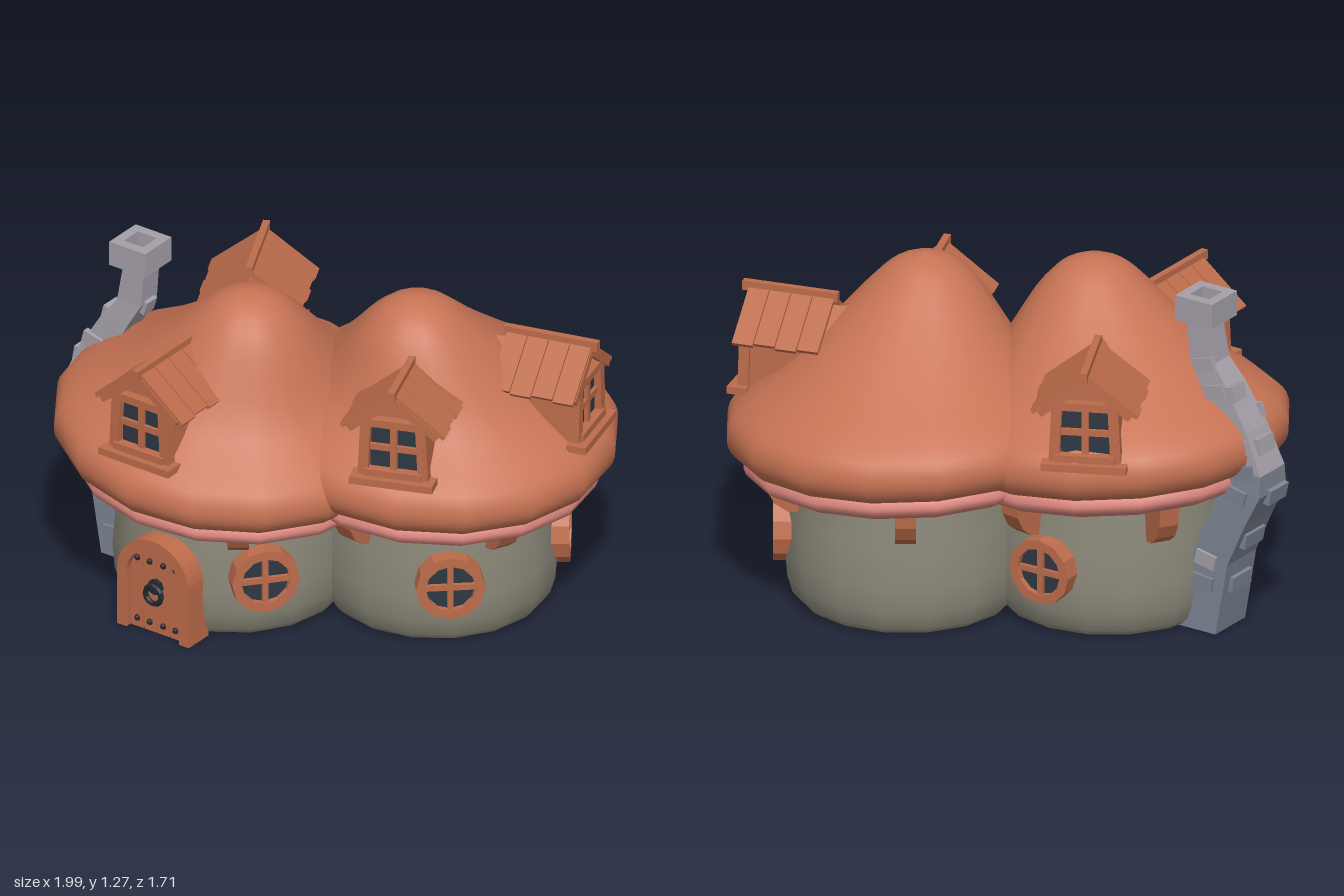
import * as THREE from 'three';
import { mergeVertices } from 'three/addons/utils/BufferGeometryUtils.js';

const mat = (name, color, flat = true) => {
  const m = new THREE.MeshStandardMaterial({ color, flatShading: flat });
  m.name = name;
  return m;
};
const CAP = mat('capOrange', 0xc87455, false);
const GILL = mat('gillPink', 0xdc877e, false);
const STEM = mat('stemGrey', 0x8a8778, false);
const WOOD = mat('wood', 0xbd6c4b);
const GLASS = mat('glass', 0x2e3742);
const IRON = mat('iron', 0x24272c);
const STONE = mat('paleStone', 0xa59fa8);
const SLATE = mat('blueStone', 0x7b8492);

function add(parent, name, geo, material, x = 0, y = 0, z = 0) {
  const m = new THREE.Mesh(geo, material);
  m.name = name;
  m.position.set(x, y, z);
  parent.add(m);
  return m;
}
const box = (parent, name, material, w, h, d, x, y, z) =>
  add(parent, name, new THREE.BoxGeometry(w, h, d), material, x, y, z);
const extrude = (shape, depth, curveSegments = 6) =>
  new THREE.ExtrudeGeometry(shape, { depth, bevelEnabled: false, curveSegments });
const vecs = (pts) => pts.map(([x, y]) => new THREE.Vector2(x, y));

// Group turned to face an angle measured from +z toward +x
function facing(parent, name, degrees) {
  const g = new THREE.Group();
  g.name = name;
  g.rotation.y = THREE.MathUtils.degToRad(degrees);
  parent.add(g);
  return g;
}

// Sixteen-sided lathe whose rim tilts and whose peak leans
function leaningLathe(points, lean, tilt) {
  const g = new THREE.LatheGeometry(points, 16);
  const p = g.attributes.position;
  for (let i = 0; i < p.count; i++) {
    const x = p.getX(i), y = p.getY(i), z = p.getZ(i);
    const s = THREE.MathUtils.smoothstep(y, 0.78, 1.24);
    p.setXYZ(i, x + lean[0] * s, y - ((tilt[0] * x + tilt[1] * z) / 0.65) * (1 - s), z + lean[1] * s);
  }
  g.deleteAttribute('uv');
  g.deleteAttribute('normal');
  const merged = mergeVertices(g, 1e-4);
  merged.computeVertexNormals();
  return merged;
}

const stemProfile = vecs([[0, 0.005], [0.375, 0.005], [0.39, 0.008], [0.415, 0.035], [0.435, 0.1],
  [0.443, 0.2], [0.428, 0.35], [0.408, 0.48], [0.39, 0.66]]);
const gillProfile = vecs([[0.35, 0.63], [0.43, 0.6], [0.47, 0.55], [0.51, 0.508], [0.55, 0.5],
  [0.585, 0.522], [0.595, 0.55], [0.58, 0.575], [0.55, 0.6]]);
const capProfile = new THREE.SplineCurve(vecs([[0.55, 0.59], [0.605, 0.582], [0.643, 0.62], [0.656, 0.67],
  [0.64, 0.73], [0.58, 0.79], [0.44, 0.9], [0.3, 1.05], [0.19, 1.175], [0.1, 1.248], [0, 1.275]])).getPoints(26);
capProfile[capProfile.length - 1].x = 0;

// House-shaped window; push slides it outward along its facing
function dormer(parent, degrees, push) {
  const g = facing(parent, 'dormer', degrees);
  g.translateZ(push);
  const wall = new THREE.Shape(vecs([[-0.12, 0.7], [0.12, 0.7], [0.112, 0.985], [0, 1.085], [-0.112, 0.985]]));
  add(g, 'dormerWall', extrude(wall, 0.4), WOOD, 0, 0, 0.145);
  box(g, 'dormerGlass', GLASS, 0.18, 0.2, 0.008, 0, 0.885, 0.55);
  box(g, 'windowSill', WOOD, 0.31, 0.028, 0.075, 0, 0.764, 0.577);
  box(g, 'sillBlock', WOOD, 0.22, 0.03, 0.05, 0, 0.79, 0.565);
  box(g, 'windowLintel', WOOD, 0.24, 0.03, 0.04, 0, 0.99, 0.56);
  box(g, 'windowMullion', WOOD, 0.024, 0.2, 0.022, 0, 0.888, 0.558);
  box(g, 'windowTransom', WOOD, 0.18, 0.024, 0.02, 0, 0.888, 0.557);
  for (const s of [-1, 1]) {
    box(g, 'windowPost', WOOD, 0.038, 0.215, 0.04, s * 0.107, 0.886, 0.56).rotation.z = s * 0.05;
    // Roof slope of four planks with a board along the front
    const slope = new THREE.Group();
    slope.name = 'roofSlope';
    slope.position.set(0, 1.112, 0);
    slope.rotation.z = -s * 0.66;
    g.add(slope);
    for (let i = 0; i < 4; i++) {
      const len = 0.235 + (i % 2) * 0.008;
      box(slope, 'roofPlank', WOOD, len, 0.016, 0.078, s * len / 2, 0, 0.296 + i * 0.082);
    }
    box(slope, 'roofUnderlay', WOOD, 0.225, 0.012, 0.31, s * 0.112, -0.008, 0.418);
    box(slope, 'bargeBoard', WOOD, 0.225, 0.03, 0.018, s * 0.112, -0.018, 0.575);
  }
  box(g, 'ridgeBeam', WOOD, 0.026, 0.036, 0.36, 0, 1.117, 0.425);
}

function roundWindow(parent, degrees) {
  const g = facing(parent, 'roundWindow', degrees);
  const ring = new THREE.Shape().absarc(0, 0, 0.125, 0, Math.PI * 2);
  ring.holes.push(new THREE.Path().absarc(0, 0, 0.09, 0, Math.PI * 2, true));
  add(g, 'windowFrame', extrude(ring, 0.088), WOOD, 0, 0.26, 0.39);
  const glass = new THREE.CylinderGeometry(0.1, 0.1, 0.008, 12).rotateX(Math.PI / 2);
  add(g, 'windowGlass', glass, GLASS, 0, 0.26, 0.452);
  box(g, 'windowMullion', WOOD, 0.022, 0.19, 0.02, 0, 0.26, 0.461);
  box(g, 'windowTransom', WOOD, 0.19, 0.022, 0.02, 0, 0.26, 0.461);
}

function bracket(parent, degrees) {
  const g = facing(parent, 'bracket', degrees);
  const side = new THREE.Shape(vecs([[0.35, 0.57], [0.35, 0.4], [0.41, 0.375], [0.455, 0.385],
    [0.5, 0.42], [0.53, 0.475], [0.54, 0.57]]));
  const geo = extrude(side, 0.075).translate(0, 0, -0.0375).rotateY(-Math.PI / 2);
  add(g, 'bracketBlock', geo, WOOD);
}

function door(parent) {
  const g = facing(parent, 'door', 0);
  const H = 0.225, W = 0.16, w = 0.117;
  const frame = new THREE.Shape();
  frame.moveTo(-W, 0).lineTo(-W, H).absarc(0, H, W, Math.PI, 0, true).lineTo(W, 0);
  frame.lineTo(w, 0).lineTo(w, H).absarc(0, H, w, 0, Math.PI, false).lineTo(-w, 0);
  add(g, 'doorFrame', extrude(frame, 0.12, 10), WOOD, 0, 0.003, 0.375);
  const leaf = new THREE.Shape();
  leaf.moveTo(-w, 0).lineTo(-w, H).absarc(0, H, w, Math.PI, 0, true).lineTo(w, 0);
  add(g, 'doorLeaf', extrude(leaf, 0.085, 10), WOOD, 0, 0.003, 0.375);
  // Four boards cut to follow the arch
  for (let i = 0; i < 4; i++) {
    const a = -w + 0.003 + i * w / 2, b = a + w / 2 - 0.006;
    const top = (x) => H + Math.sqrt(Math.max(0, w * w - x * x));
    const pts = [[a, 0], [b, 0]];
    for (let k = 4; k >= 0; k--) {
      const x = a + (b - a) * k / 4;
      pts.push([x, top(x)]);
    }
    add(g, 'doorBoard', extrude(new THREE.Shape(vecs(pts)), 0.01), WOOD, 0, 0.003, 0.46);
  }
  for (const x of [-0.085, -0.03, 0.03, 0.085]) for (const y of [0.04, 0.287])
    add(g, 'doorStud', new THREE.SphereGeometry(0.012, 8, 6), IRON, x, y, 0.472);
  const plate = new THREE.CylinderGeometry(0.03, 0.03, 0.02, 8).rotateX(Math.PI / 2);
  add(g, 'handlePlate', plate, IRON, 0, 0.195, 0.478);
  add(g, 'handleRing', new THREE.TorusGeometry(0.035, 0.011, 6, 12), IRON, 0, 0.168, 0.492);
}

function mushroom(name, x, z, lean, tilt) {
  const g = new THREE.Group();
  g.name = name;
  g.position.set(x, 0, z);
  add(g, 'stem', leaningLathe(stemProfile, [0, 0], [0, 0]), STEM);
  add(g, 'gills', leaningLathe(gillProfile, lean, tilt), GILL);
  add(g, 'cap', leaningLathe(capProfile, lean, tilt), CAP);
  return g;
}

// Square tube through sections of [y, centre x, half width, half depth]
function loft(sections) {
  const pos = [], idx = [];
  for (const [y, x, w, d] of sections)
    pos.push(x - w, y, d, x + w, y, d, x + w, y, -d, x - w, y, -d);
  const n = sections.length - 1;
  for (let i = 0; i < n; i++) for (let j = 0; j < 4; j++) {
    const a = i * 4 + j, b = i * 4 + (j + 1) % 4;
    idx.push(a, b, b + 4, a, b + 4, a + 4);
  }
  const t = n * 4;
  idx.push(0, 2, 1, 0, 3, 2, t, t + 1, t + 2, t, t + 2, t + 3);
  const g = new THREE.BufferGeometry();
  g.setAttribute('position', new THREE.Float32BufferAttribute(pos, 3));
  g.setIndex(idx);
  const flat = g.toNonIndexed();
  flat.computeVertexNormals();
  return flat;
}

function chimney() {
  const g = new THREE.Group();
  g.name = 'chimney';
  g.position.z = 0.21;
  const path = [[0, -0.69, 0.095, 0.095], [0.28, -0.755, 0.08, 0.092], [0.45, -0.83, 0.08, 0.09],
    [0.57, -0.885, 0.085, 0.085], [0.65, -0.89, 0.078, 0.078], [0.8, -0.835, 0.066, 0.068],
    [0.95, -0.75, 0.06, 0.058], [1.03, -0.695, 0.052, 0.05], [1.185, -0.675, 0.046, 0.046]];
  add(g, 'chimneyBase', loft(path.slice(0, 5)), SLATE);
  add(g, 'chimneyShaft', loft(path.slice(4)), STONE);
  // Raised stones scattered up the faces
  let seed = 7;
  const rnd = () => (seed = (seed * 16807) % 2147483647) / 2147483647;
  for (let k = 0; k < 11; k++) {
    const y = 0.1 + k * 0.092;
    const i = path.findIndex((s) => s[0] > y) - 1;
    const a = path[i], b = path[i + 1], t = (y - a[0]) / (b[0] - a[0]);
    const [, x, w, d] = a.map((v, q) => v + (b[q] - v) * t);
    const turn = Math.atan2(a[1] - b[1], b[0] - a[0]) * 0.5;
    const m = k === 2 ? STONE : y < 0.66 ? SLATE : STONE;
    for (const s of [-1, 1]) {
      const off = (rnd() - 0.5) * 0.06;
      if (rnd() < 0.65) box(g, 'faceStone', m, 0.085, 0.055, 0.024, x + off, y, s * d).rotation.z = turn;
    }
    if (k % 2) box(g, 'outerStone', m, 0.045, 0.06, d * 1.3, x - w + 0.005, y, (rnd() - 0.5) * 0.05).rotation.z = turn;
    else box(g, 'innerStone', m, 0.03, 0.055, d * 1.2, x + w, y, (rnd() - 0.5) * 0.04).rotation.z = turn;
  }
  // Hollow square crown
  const s = 0.08, h = 0.042;
  const crown = new THREE.Shape(vecs([[-s, -s], [s, -s], [s, s], [-s, s]]));
  crown.holes.push(new THREE.Path(vecs([[-h, -h], [-h, h], [h, h], [h, -h]])));
  add(g, 'chimneyCrown', extrude(crown, 0.095).rotateX(-Math.PI / 2), STONE, -0.68, 1.18, 0);
  return g;
}

export function createModel() {
  const model = new THREE.Group();
  model.name = 'mushroomHouse';

  const front = mushroom('frontMushroom', -0.267, 0.202, [0.115, 0.07], [0.05, 0.022]);
  dormer(front, 0, 0);
  dormer(front, 206, 0.04);
  [50, 182].forEach((a) => roundWindow(front, a));
  [38, 107, 172, 238, 320].forEach((a) => bracket(front, a));
  door(front);

  const back = mushroom('backMushroom', 0.345, -0.195, [0.015, 0.145], [0.035, 0.008]);
  dormer(back, 21, 0.03);
  dormer(back, 105, 0.015);
  [42, 124].forEach((a) => roundWindow(back, a));
  [-4, 66, 140, 214, 284].forEach((a) => bracket(back, a));

  model.add(front, back, chimney());
  return model;
}
